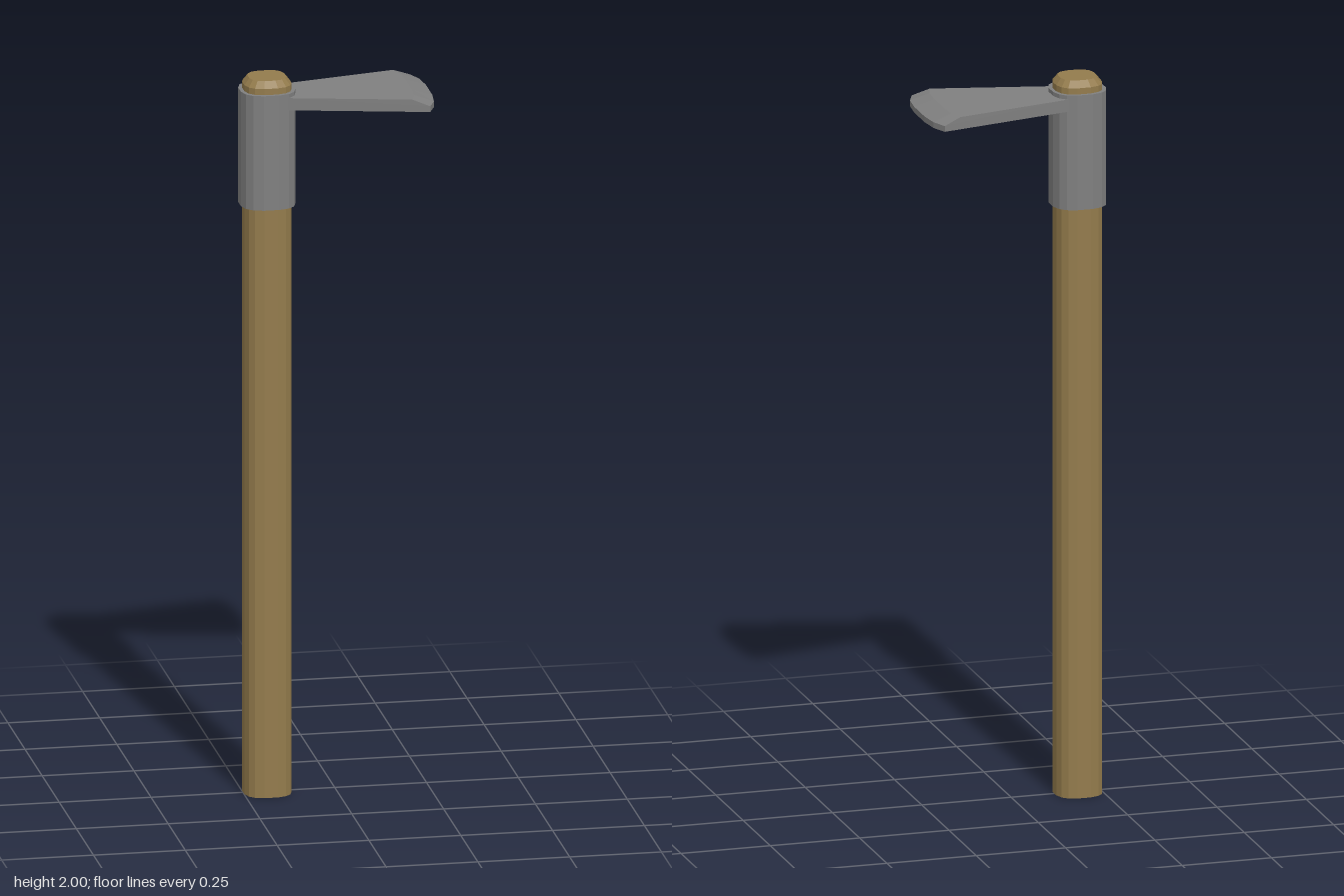
import * as THREE from 'three';

// Flat-faced solid through a series of closed rings, capped at both ends
function loft(rings) {
  const pos = [];
  const tri = (a, b, c) => pos.push(...a, ...b, ...c);
  const n = rings[0].length;
  for (let k = 0; k < rings.length - 1; k++) {
    const A = rings[k], B = rings[k + 1];
    for (let i = 0; i < n; i++) {
      const j = (i + 1) % n;
      tri(A[i], B[i], B[j]);
      tri(A[i], B[j], A[j]);
    }
  }
  const first = rings[0], last = rings[rings.length - 1];
  for (let i = 1; i < n - 1; i++) {
    tri(first[0], first[i], first[i + 1]);
    tri(last[0], last[i + 1], last[i]);
  }
  const geo = new THREE.BufferGeometry();
  geo.setAttribute('position', new THREE.Float32BufferAttribute(pos, 3));
  geo.computeVertexNormals();
  return geo;
}

// Rounded-square ring of sixteen points around the handle axis
const AXIS_X = -0.185;
function squareRing(half, y) {
  const corner = [[1, 0.29], [0.88, 0.66], [0.66, 0.88], [0.29, 1]];
  const ring = [];
  for (let q = 0; q < 4; q++) {
    const c = Math.round(Math.cos(q * Math.PI / 2)), s = Math.round(Math.sin(q * Math.PI / 2));
    for (const [u, v] of corner) {
      ring.push([AXIS_X + half * (u * c - v * s), y, half * (u * s + v * c)]);
    }
  }
  return ring;
}

export function createModel() {
  const group = new THREE.Group();
  const wood = new THREE.MeshStandardMaterial({ color: 0x937b4c });
  wood.name = 'wood';
  const steel = new THREE.MeshStandardMaterial({ color: 0x7f7f7f });
  steel.name = 'steel';

  const add = (name, geo, mat) => {
    const mesh = new THREE.Mesh(geo, mat);
    mesh.name = name;
    group.add(mesh);
  };

  // Long handle with a chamfered top
  add('handle', loft([
    squareRing(0.064, 0), squareRing(0.064, 1.982), squareRing(0.05, 2),
  ]), wood);

  // Metal socket around the handle
  add('socket', loft([squareRing(0.074, 1.645), squareRing(0.074, 1.965)]), steel);

  // Fan-shaped blade: slices across z, each with a bevelled cutting edge
  const bottom = 1.92, top = 1.954, edgeY = 1.936;
  const half = [ // root z, bevel x, bevel z, edge x, edge z
    [0.062, 0.185, 0.141, 0.232, 0.152],
    [0.044, 0.198, 0.1, 0.25, 0.108],
    [0.02, 0.202, 0.045, 0.257, 0.048],
  ];
  const slice = (s) => ([rz, bx, bz, ex, ez]) => [
    [-0.16, top, s * rz], [bx, top, s * bz], [ex, edgeY, s * ez],
    [ex, bottom, s * ez], [-0.16, bottom, s * rz],
  ];
  add('blade', loft([
    ...half.map(slice(-1)), ...half.slice().reverse().map(slice(1)),
  ]), steel);

  return group;
}
